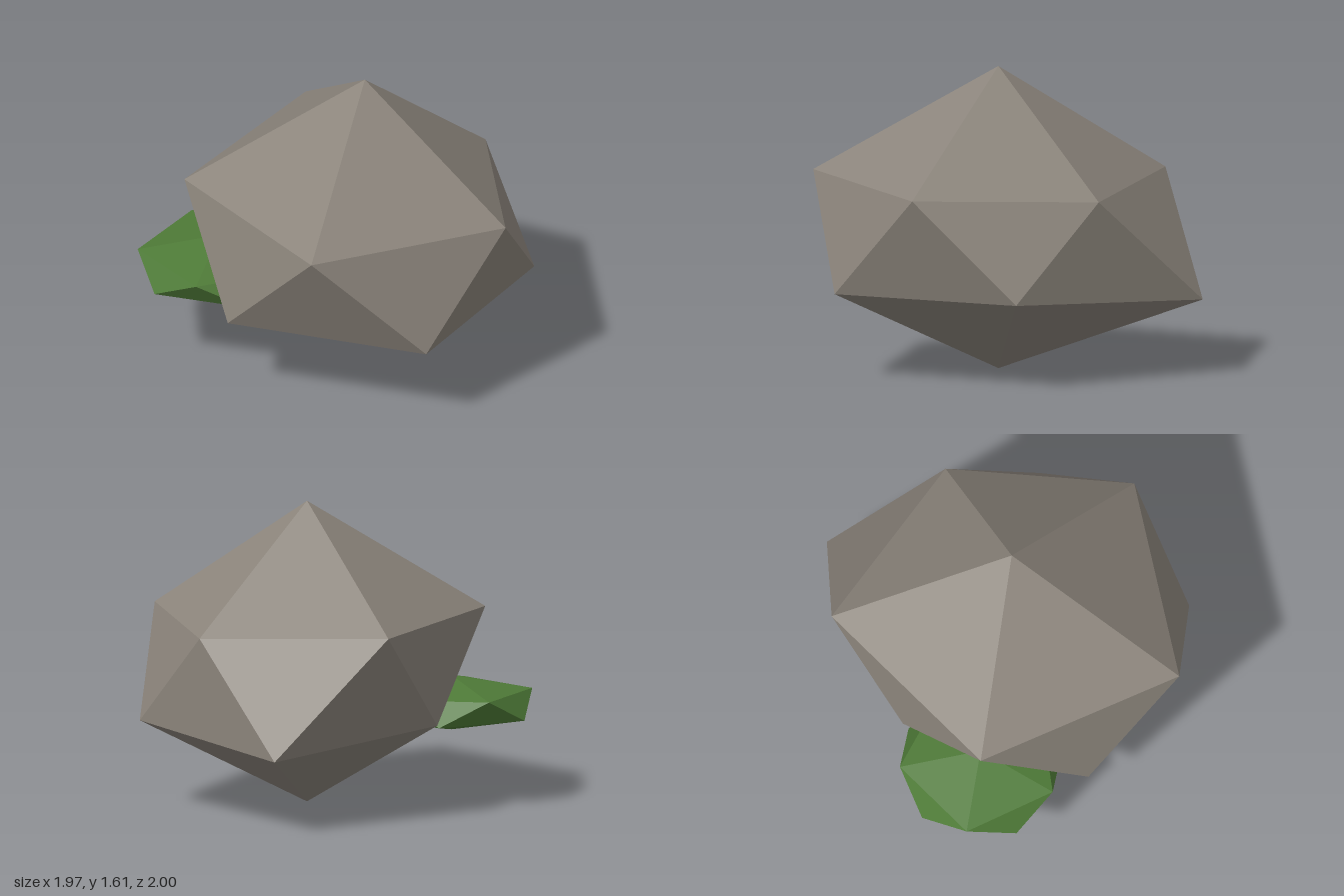
import * as THREE from 'three';

// Twenty-sided solid from a top point, two rings of five and a bottom point
function facetedSolid(top, upper, lower, bottom) {
  const pos = [];
  for (let i = 0; i < 5; i++) {
    const j = (i + 1) % 5;
    pos.push(
      ...top, ...upper[j], ...upper[i],
      ...upper[i], ...upper[j], ...lower[i],
      ...lower[i], ...upper[j], ...lower[j],
      ...bottom, ...lower[i], ...lower[j],
    );
  }
  const geo = new THREE.BufferGeometry();
  geo.setAttribute('position', new THREE.Float32BufferAttribute(pos, 3));
  geo.computeVertexNormals();
  return geo;
}

// Regular ring of five points
function ring(cx, y, cz, radius, startDeg) {
  return Array.from({ length: 5 }, (_, i) => {
    const a = THREE.MathUtils.degToRad(startDeg + i * 72);
    return [cx + radius * Math.cos(a), y, cz + radius * Math.sin(a)];
  });
}

export function createModel() {
  const group = new THREE.Group();
  group.name = 'mossyRock';

  const stone = new THREE.MeshStandardMaterial({ color: 0x8b847b, flatShading: true });
  stone.name = 'stone grey';
  const green = new THREE.MeshStandardMaterial({ color: 0x4e7a37, flatShading: true });
  green.name = 'moss green';

  // Uneven boulder
  const boulder = new THREE.Mesh(facetedSolid(
    [0.08, 1.61, 0.05],
    [[0.98, 1.0, 0.05], [0.39, 1.03, 1.0], [-0.69, 1.02, 0.61], [-0.69, 1.02, -0.52], [0.33, 0.97, -0.71]],
    [[0.85, 0.45, 0.6], [-0.2, 0.45, 0.92], [-0.7, 0.47, 0.03], [-0.26, 0.4, -1.0], [0.8, 0.46, -0.48]],
    [0.08, 0, 0.05],
  ), stone);
  boulder.name = 'boulder';

  // Flattened moss clump sunk into the side of the boulder
  const mx = -0.56, mz = 0.475;
  const moss = new THREE.Mesh(facetedSolid(
    [mx, 0.66, mz],
    ring(mx, 0.58, mz, 0.43, 0),
    ring(mx, 0.45, mz, 0.43, 36),
    [mx, 0.37, mz],
  ), green);
  moss.name = 'mossClump';

  group.add(boulder, moss);
  return group;
}
